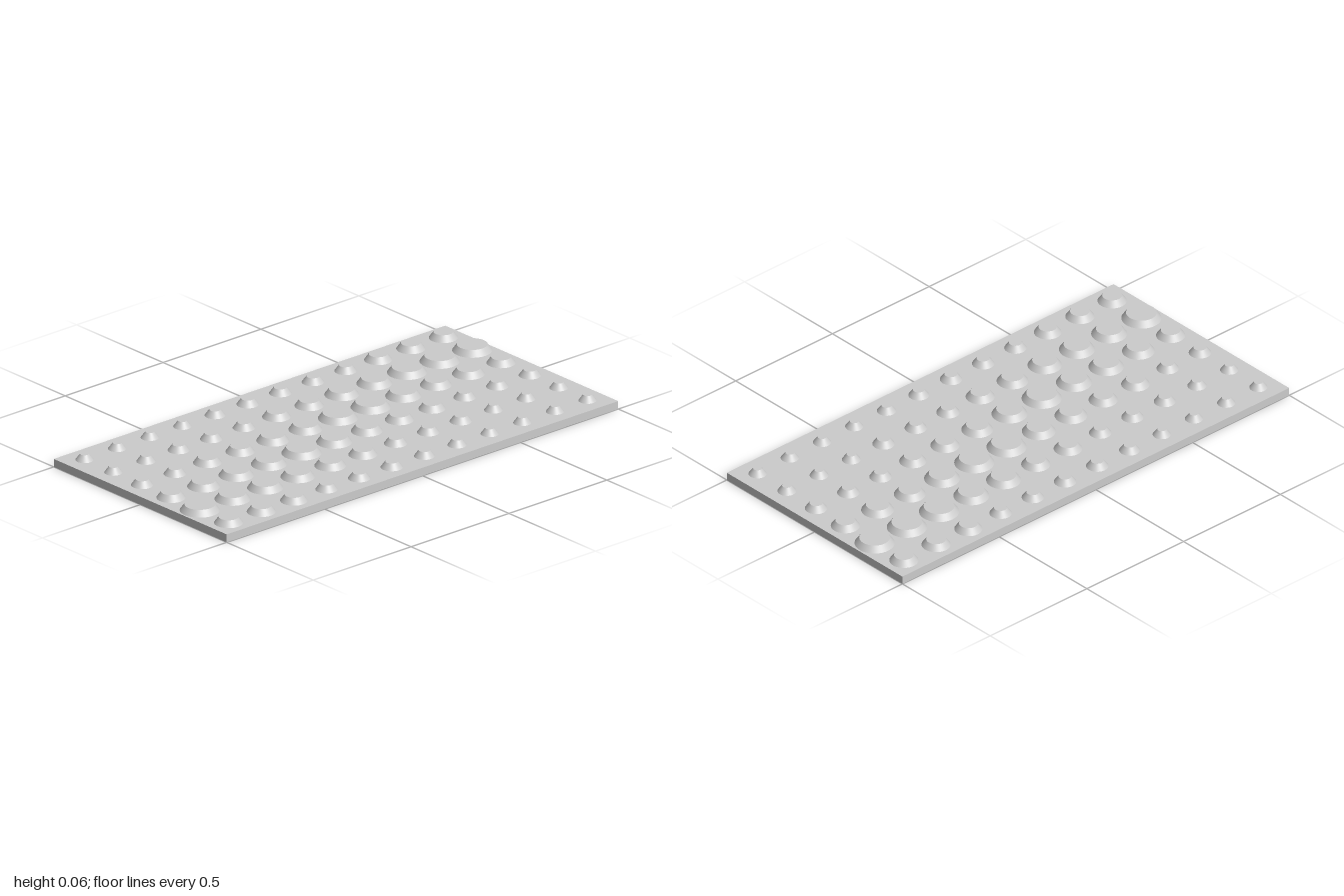
import * as THREE from 'three';

// Base radius of every stud in hundredths, rows from back to front, columns from -x to +x
const RADII = [
  [5.6, 7.7, 5.6, 4.3, 3.6, 3.5],
  [5.6, 7.7, 6.3, 4.3, 3.6, 3.5],
  [5.4, 7.7, 6.1, 4.3, 3.6, 3.5],
  [4.3, 6.9, 6.9, 5.2, 4.3, 3.5],
  [4.3, 6.7, 7.7, 5.6, 4.3, 3.7],
  [4.3, 5.6, 7.7, 6.1, 4.5, 4.0],
  [4.3, 5.5, 6.5, 6.9, 5.6, 4.3],
  [4.0, 4.3, 6.3, 7.7, 6.1, 4.3],
  [3.5, 4.3, 5.6, 6.9, 6.6, 4.3],
  [3.5, 4.2, 5.5, 6.8, 6.9, 5.3],
  [3.5, 3.7, 4.3, 6.3, 6.9, 5.6],
  [3.5, 3.5, 4.3, 5.6, 7.7, 5.6],
];
const PLATE_HEIGHT = 0.033;
const STUD_HEIGHT = 0.025;
const TAPER = 0.018;
const PITCH = 1 / 6;

export function createModel() {
  const model = new THREE.Group();
  model.name = 'studdedPanel';
  const material = new THREE.MeshStandardMaterial({ color: 0xcccccc });

  // Flat backing plate
  const plate = new THREE.Mesh(new THREE.BoxGeometry(1, PLATE_HEIGHT, 2), material);
  plate.name = 'plate';
  plate.position.y = PLATE_HEIGHT / 2;
  model.add(plate);

  // Truncated cone studs, widest along a diagonal band
  const studs = new THREE.Group();
  studs.name = 'studs';
  RADII.forEach((row, j) => row.forEach((r, i) => {
    const radius = r / 100;
    const stud = new THREE.Mesh(
      new THREE.CylinderGeometry(radius - TAPER, radius, STUD_HEIGHT, 40), material);
    stud.name = 'stud';
    stud.position.set((i - 2.5) * PITCH, PLATE_HEIGHT + STUD_HEIGHT / 2, (j - 5.5) * PITCH);
    studs.add(stud);
  }));
  model.add(studs);

  return model;
}
